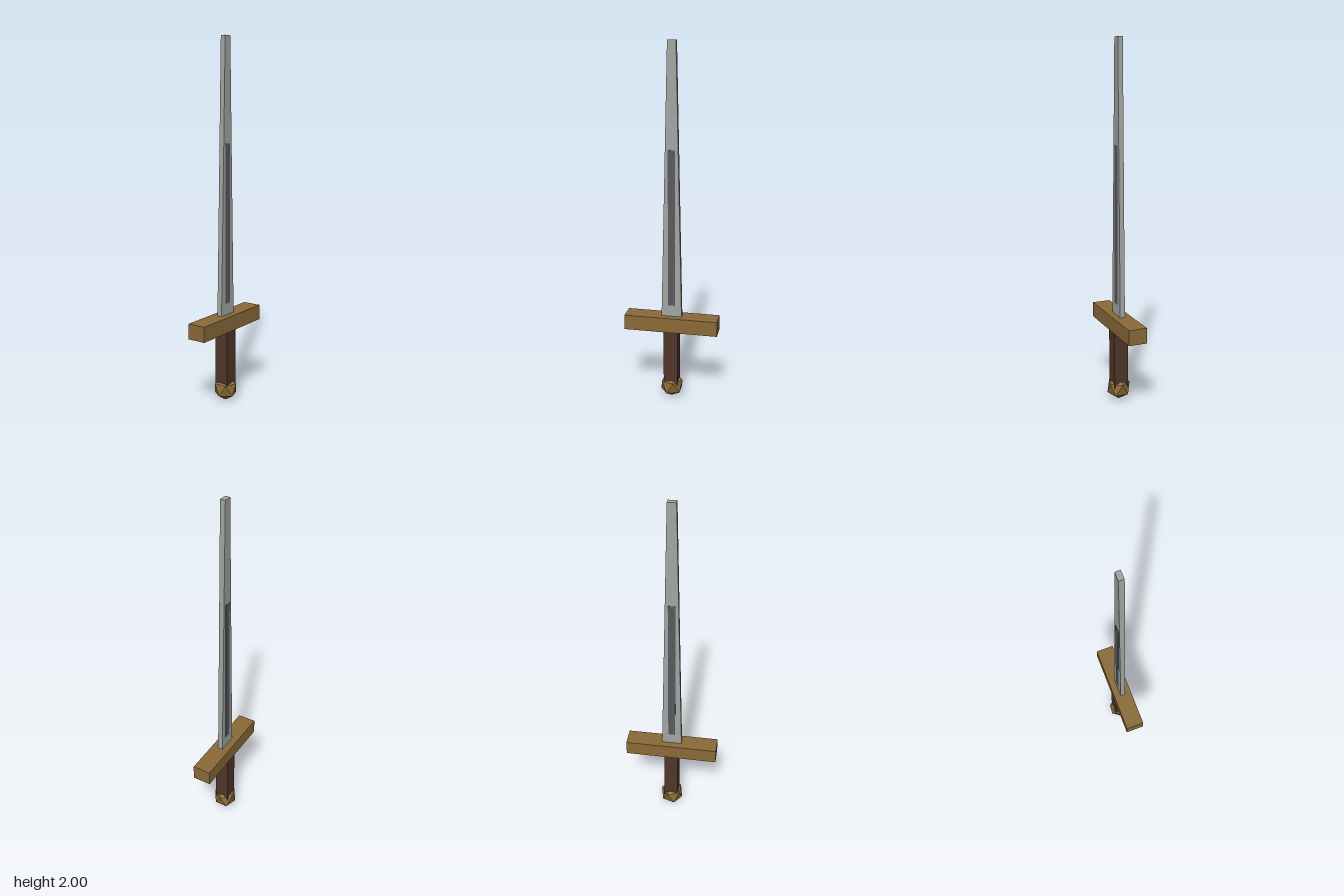
import * as THREE from 'three';

const steel = new THREE.MeshStandardMaterial({ color: 0xa2a6a2, flatShading: true });
const darkSteel = new THREE.MeshStandardMaterial({ color: 0x585a5e, flatShading: true });
const brass = new THREE.MeshStandardMaterial({ color: 0x8a6a38, flatShading: true });
const leather = new THREE.MeshStandardMaterial({ color: 0x50362a, flatShading: true });

export function createModel() {
  const sword = new THREE.Group();
  sword.name = 'sword';

  function add(name, geometry, material, y = 0) {
    const mesh = new THREE.Mesh(geometry, material);
    mesh.name = name;
    mesh.position.y = y;
    sword.add(mesh);
  }

  // Box spanning bottom to top, centred on the vertical axis
  function addBox(name, width, bottom, top, depth, material) {
    add(name, new THREE.BoxGeometry(width, top - bottom, depth), material, (bottom + top) / 2);
  }

  // Pommel: icosahedron standing on one of its corners
  const pommel = new THREE.IcosahedronGeometry(0.07, 0);
  pommel.rotateZ(-Math.atan(2 / (1 + Math.sqrt(5))));
  add('pommel', pommel, brass, 0.07);

  // Grip and crossguard
  addBox('grip', 0.08, 0.08, 0.42, 0.08, leather);
  addBox('crossguard', 0.525, 0.415, 0.5, 0.104, brass);

  // Blade: tapers in width towards a blunt tip, constant thickness
  const thickness = 0.028;
  const outline = new THREE.Shape([
    new THREE.Vector2(-0.057, 0.49),
    new THREE.Vector2(0.057, 0.49),
    new THREE.Vector2(0.023, 2),
    new THREE.Vector2(-0.023, 2),
  ]);
  const blade = new THREE.ExtrudeGeometry(outline, { depth: thickness, bevelEnabled: false });
  blade.translate(0, 0, -thickness / 2);
  add('blade', blade, steel);

  // Dark central strip, just proud of both faces
  addBox('fuller', 0.04, 0.565, 1.44, 0.031, darkSteel);

  return sword;
}
